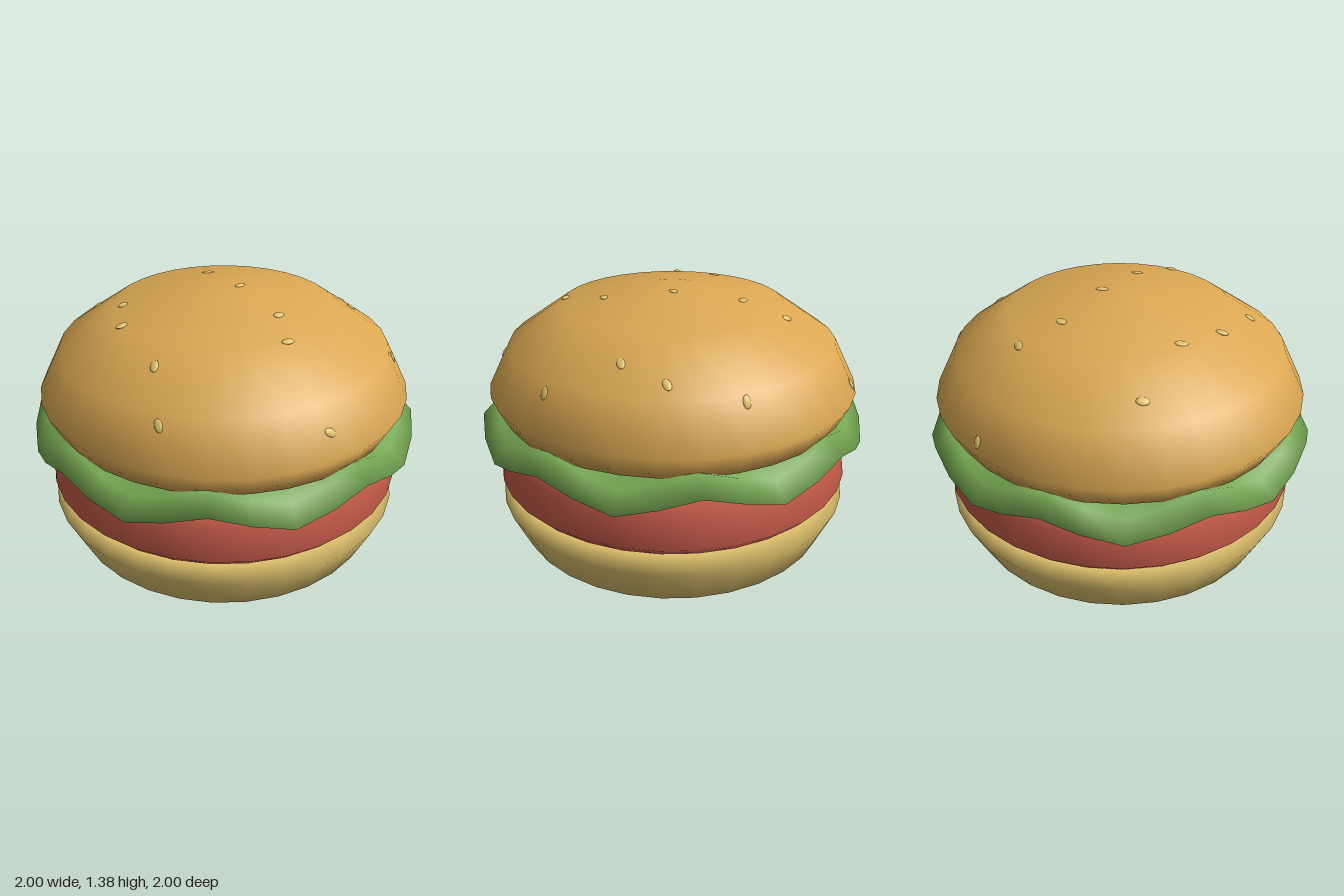
import * as THREE from 'three';
import { mergeVertices } from 'three/addons/utils/BufferGeometryUtils.js';

const SIDES = 32;

// Smooth turned solid from [radius, height] pairs, listed bottom to top
function turned(profile) {
  return new THREE.LatheGeometry(profile.map(([r, y]) => new THREE.Vector2(r, y)), SIDES);
}

export function createModel() {
  const group = new THREE.Group();
  group.name = 'burger';
  const material = (name, color) => {
    const m = new THREE.MeshStandardMaterial({ color });
    m.name = name;
    return m;
  };
  const crust = material('toasted crust', 0xdba853);
  const pale = material('pale bread', 0xdfc26d);
  const meat = material('red patty', 0xc65b49);
  const leaf = material('lettuce green', 0x74a650);

  const add = (name, geometry, mat) => {
    const mesh = new THREE.Mesh(geometry, mat);
    mesh.name = name;
    group.add(mesh);
    return mesh;
  };

  // Bottom bun and patty
  add('bottomBun', turned([[0, 0], [0.51, 0], [0.84, 0.085], [0.93, 0.285], [0.89, 0.375], [0, 0.375]]), pale);
  add('patty', turned([[0, 0.375], [0.89, 0.375], [0.93, 0.42], [0.905, 0.59], [0.85, 0.655], [0, 0.655]]), meat);

  // Lettuce ring: the outer rim rises and falls in eight waves
  let lettuce = turned([[0.8, 0.65], [0.91, 0.64], [1, 0.675], [0.92, 0.76], [0.8, 0.765]]);
  const pos = lettuce.attributes.position;
  for (let i = 0; i < pos.count; i++) {
    const x = pos.getX(i), z = pos.getZ(i);
    if (Math.hypot(x, z) > 0.85) pos.setY(i, pos.getY(i) + 0.05 * Math.cos(8 * Math.atan2(x, z)));
  }
  lettuce.deleteAttribute('uv');
  lettuce.deleteAttribute('normal');
  lettuce = mergeVertices(lettuce, 1e-4);
  lettuce.computeVertexNormals();
  add('lettuce', lettuce, leaf).material.side = THREE.DoubleSide;

  // Top bun
  const dome = [[0.89, 0.77], [0.95, 0.89], [0.835, 1.115], [0.56, 1.305], [0.13, 1.375], [0, 1.375]];
  add('topBun', turned([[0, 0.77], ...dome]), crust);

  // Sesame seeds lying on the dome: x, z, turn in the surface
  const seeds = [
    [-0.35, -0.63, 1.4], [0.36, -0.85, 0.2], [0.3, -0.515, 1.2], [0.17, -0.325, 1.6],
    [-0.41, -0.29, 1.0], [-0.55, -0.1, 0.2], [0.1, 0.01, 0.3], [0.82, -0.21, 0],
    [0.76, 0.125, 0.4], [0.62, 0.31, 0.5], [0.04, 0.35, 1.5], [-0.61, 0.235, 0.3],
    [-0.74, 0.425, 0.4], [-0.09, 0.54, 1.5], [0.56, 0.65, 0.1], [-0.15, 0.875, 1.0],
  ];
  const seedShape = new THREE.SphereGeometry(1, 12, 8).scale(0.02, 0.008, 0.032);
  const step = (2 * Math.PI) / SIDES;
  for (const [x, z, turn] of seeds) {
    const angle = Math.atan2(x, z);
    // Radius of the profile that passes through this point of the faceted dome
    const within = ((angle % step) + step) % step - step / 2;
    const r = Math.hypot(x, z) * Math.cos(within) / Math.cos(step / 2);
    const k = dome.findIndex(([radius], i) => i > 1 && radius <= r);
    const [r0, y0] = dome[k - 1], [r1, y1] = dome[k];
    const y = y0 + (y1 - y0) * (r0 - r) / (r0 - r1);
    const seed = add('sesameSeed', seedShape, pale);
    seed.position.set(x, y, z);
    seed.rotation.order = 'YXZ';
    seed.rotation.set(Math.atan2(y1 - y0, r0 - r1), angle, 0);
    seed.rotateY(turn);
  }
  return group;
}
